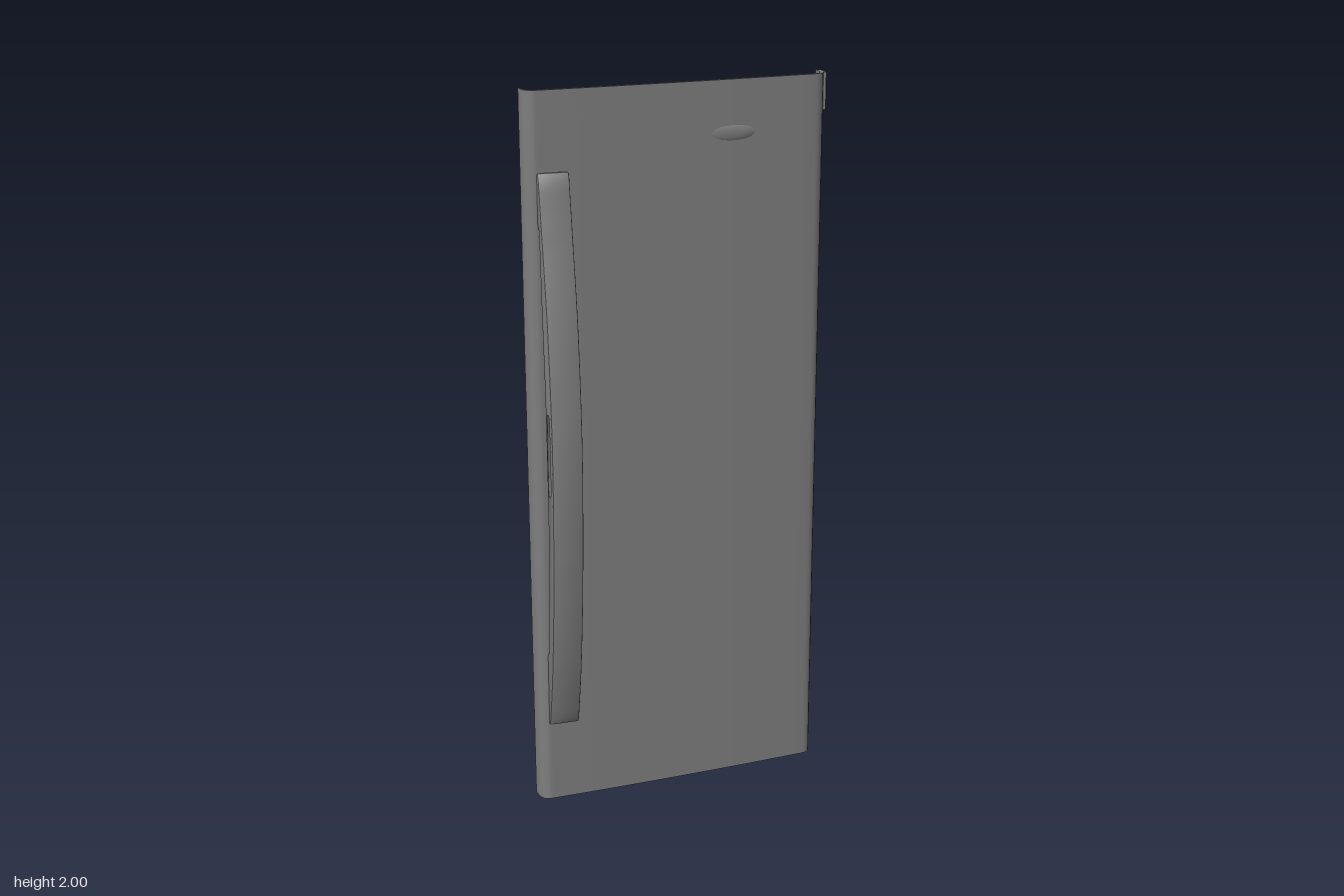
import * as THREE from 'three';
import { toCreasedNormals } from 'three/addons/utils/BufferGeometryUtils.js';

const H = 2, THICK = 0.009;
const SLOT_L = -0.38, SLOT_R = -0.313; // x range of the handle mount openings

// front surface depth of the gently curved door skin
const frontZ = (x) => {
  const t = (x + 0.39) / 0.78;
  return 0.004 - 0.026 * t - 0.022 * t * t;
};

// skin points from x0 to x1 at a given offset behind the front
const skin = (x0, x1, n, off) =>
  Array.from({ length: n + 1 }, (_, i) => {
    const x = x0 + ((x1 - x0) * i) / n;
    return [x, frontZ(x) - off];
  });

export function createModel() {
  const group = new THREE.Group();
  const grey = new THREE.MeshStandardMaterial({ color: 0x808080, side: THREE.DoubleSide });
  grey.name = 'mid grey';

  const add = (name, geo, parent = group) => {
    const mesh = new THREE.Mesh(geo, grey);
    mesh.name = name;
    parent.add(mesh);
    return mesh;
  };

  // extrude an (x, z) cross-section upward from y0 to y1
  const upright = (pts, y0, y1) => {
    const shape = new THREE.Shape(pts.map(([x, z]) => new THREE.Vector2(x, -z)));
    const geo = new THREE.ExtrudeGeometry(shape, { depth: y1 - y0, bevelEnabled: false });
    geo.rotateX(-Math.PI / 2).translate(0, y0, 0);
    return toCreasedNormals(geo, 0.6);
  };

  const door = new THREE.Group();
  door.name = 'doorPanel';
  group.add(door);

  // left edge with a short curl toward the back
  add('leftEdge', upright([
    [-0.42, -0.05], [-0.419, -0.032], [-0.416, -0.016], [-0.408, -0.003], [-0.395, 0.003],
    ...skin(-0.39, SLOT_L, 1, 0), ...skin(SLOT_L, -0.39, 1, THICK),
    [-0.402, -0.01], [-0.41, -0.019], [-0.415, -0.034], [-0.417, -0.05],
  ], 0, H), door);

  // strip behind the handle, interrupted by two mount openings
  for (const [y0, y1] of [[0, 0.24], [0.47, 1.66], [1.78, H]]) {
    add('handleStrip', upright([
      ...skin(SLOT_L, SLOT_R, 2, 0), ...skin(SLOT_R, SLOT_L, 2, THICK),
    ], y0, y1), door);
  }

  // main skin with the deep right flange
  add('mainSkin', upright([
    ...skin(SLOT_R, 0.385, 16, 0),
    [0.397, -0.046], [0.406, -0.053], [0.412, -0.066], [0.414, -0.085], [0.414, -0.11],
    [0.407, -0.11], [0.407, -0.085], [0.404, -0.068], [0.398, -0.058], [0.39, -0.053],
    ...skin(0.385, SLOT_R, 16, THICK),
  ], 0, H), door);

  // thickened top corner of the flange
  add('flangeCorner', new THREE.BoxGeometry(0.008, 0.1, 0.045).translate(0.416, 1.95, -0.0875), door);

  // bowed handle, drawn in side profile and extruded across x
  const side = ([z, y]) => new THREE.Vector2(-z, y);
  const front = new THREE.CatmullRomCurve3([
    [0.015, 0.25], [0.05, 0.4], [0.08, 0.6], [0.099, 0.82], [0.107, 1.05],
    [0.1, 1.22], [0.08, 1.42], [0.045, 1.62], [0.016, 1.78],
  ].map(([z, y]) => new THREE.Vector3(z, y, 0))).getPoints(32).map((p) => [p.x, p.y]);
  const inner = new THREE.CatmullRomCurve3([
    [0.013, 1.64], [0.027, 1.4], [0.041, 1.2], [0.045, 1.0],
    [0.044, 0.8], [0.037, 0.64], [0.024, 0.55], [0.016, 0.46],
  ].map(([z, y]) => new THREE.Vector3(z, y, 0))).getPoints(24).map((p) => [p.x, p.y]);
  const profile = new THREE.Shape([
    [-0.003, 0.23], [0.008, 0.234], ...front, [0.008, 1.789], [-0.003, 1.789],
    [-0.003, 1.66], ...inner, [-0.003, 0.44],
  ].map(side));

  // slot through the middle of the handle
  profile.holes.push(new THREE.Path([
    [0.058, 0.93], [0.08, 0.93], [0.087, 0.945], [0.09, 1.05], [0.086, 1.155],
    [0.08, 1.168], [0.06, 1.168], [0.053, 1.155], [0.051, 1.05], [0.052, 0.945],
  ].map(side)));
  const bevel = 0.004;
  const handle = new THREE.ExtrudeGeometry(profile, {
    depth: 0.083 - 2 * bevel, bevelEnabled: true, bevelSize: bevel,
    bevelThickness: bevel, bevelOffset: -bevel, bevelSegments: 2,
  });
  handle.rotateY(Math.PI / 2).translate(-0.389 + bevel, 0, 0);
  add('handle', toCreasedNormals(handle, 0.7));

  // small oval boss showing on both faces of the door
  const boss = add('ovalBoss', new THREE.SphereGeometry(1, 24, 12));
  boss.scale.set(0.075, 0.024, 0.008);
  boss.position.set(0.14, 1.86, frontZ(0.14) - THICK / 2);
  boss.rotation.set(0, 0.05, 0);

  return group;
}
